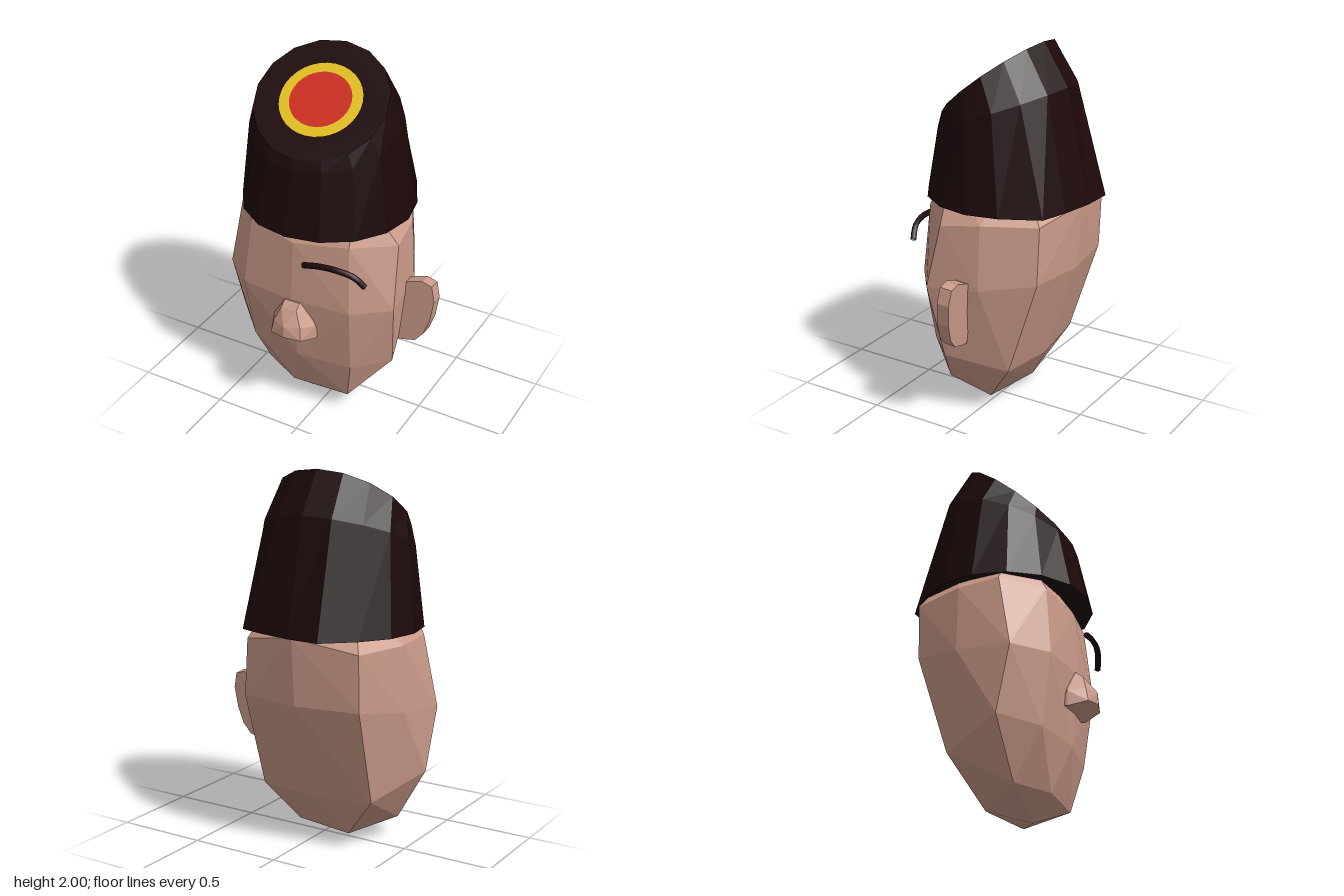
import * as THREE from 'three';
import { ConvexGeometry } from 'three/addons/geometries/ConvexGeometry.js';

const CX = -0.08; // centre line of the face

function material(name, color) {
  const m = new THREE.MeshStandardMaterial({ color });
  m.name = name;
  return m;
}

function flat(geometry) {
  const g = geometry.index ? geometry.toNonIndexed() : geometry;
  g.computeVertexNormals();
  return g;
}

const hull = (points) => new ConvexGeometry(points.map((p) => new THREE.Vector3(...p)));

// Closed solid through rings of equal point count, listed bottom to top
function loft(rings) {
  const n = rings[0].length, pos = [], index = [];
  rings.forEach((ring) => ring.forEach((p) => pos.push(...p)));
  for (let r = 0; r < rings.length - 1; r++) {
    for (let i = 0; i < n; i++) {
      const a = r * n + i, b = r * n + (i + 1) % n;
      index.push(a, b, b + n, a, b + n, a + n);
    }
  }
  const top = (rings.length - 1) * n;
  for (let i = 1; i < n - 1; i++) {
    index.push(0, i + 1, i);
    index.push(top, top + i, top + i + 1);
  }
  const g = new THREE.BufferGeometry();
  g.setAttribute('position', new THREE.Float32BufferAttribute(pos, 3));
  g.setIndex(index);
  return flat(g);
}

export function createModel() {
  const group = new THREE.Group();
  const skin = material('skin', 0xcb9b89);
  const dark = material('dark felt', 0x1d0809);
  dark.side = THREE.DoubleSide;
  const yellow = material('yellow', 0xe8c422);
  const red = material('red', 0xd02e20);

  const add = (name, geometry, mat) => {
    const mesh = new THREE.Mesh(geometry, mat);
    mesh.name = name;
    group.add(mesh);
    return mesh;
  };

  // Faceted head with a flattened back
  add('head', hull([
    // chin
    [-0.08, 0, 0.12], [0.15, 0.05, -0.02], [-0.2, 0.05, -0.08],
    [-0.38, 0.115, 0.14], [0.17, 0.115, 0.23], [-0.16, 0.115, 0.25],
    // jaw
    [-0.555, 0.41, 0.12], [0.385, 0.36, 0.12], [-0.38, 0.38, 0.29], [-0.08, 0.37, 0.335],
    [0.22, 0.36, 0.29], [0.26, 0.29, -0.2], [-0.41, 0.3, -0.2], [-0.08, 0.28, -0.235],
    // cheeks
    [-0.575, 0.75, 0.2], [0.425, 0.75, 0.2], [-0.4, 0.75, 0.345], [0.24, 0.75, 0.345],
    [-0.09, 0.75, 0.375], [-0.54, 0.78, -0.1], [0.395, 0.78, -0.1],
    [-0.43, 0.82, -0.36], [0.26, 0.82, -0.37], [-0.08, 0.82, -0.415],
    // brow
    [-0.53, 1.15, 0.12], [0.405, 1.1, 0.12], [-0.36, 1.13, 0.31], [0.22, 1.13, 0.31],
    [-0.08, 1.1, 0.36], [-0.43, 1.12, -0.37], [0.24, 1.13, -0.37], [-0.08, 1.18, -0.44],
    [0.375, 1.13, -0.1], [-0.53, 1.13, -0.1],
    // crown, inside the hat
    [-0.36, 1.4, 0.17], [0.2, 1.4, 0.17], [-0.3, 1.4, -0.2], [0.12, 1.4, -0.2],
  ]), skin);

  // Nose: mirrored half points around the centre line
  const nose = [[CX, 0.575, 0.478], [CX, 0.64, 0.475]];
  for (const s of [-1, 1]) {
    for (const [x, y, z] of [
      [0.128, 0.54, 0.36], [0.128, 0.62, 0.36], [0.09, 0.567, 0.455], [0.08, 0.64, 0.44],
      [0.045, 0.72, 0.415], [0.045, 0.748, 0.38], [0.045, 0.748, 0.33], [0.128, 0.55, 0.3],
    ]) nose.push([CX + s * x, y, z]);
  }
  add('nose', hull(nose), skin);

  // Ear on the left side
  const earShape = new THREE.Shape([
    [0.37, 0.46], [0.41, 0.465], [0.485, 0.485], [0.53, 0.54], [0.56, 0.63], [0.575, 0.75],
    [0.555, 0.835], [0.5, 0.85], [0.42, 0.825], [0.37, 0.8],
  ].map(([x, y]) => new THREE.Vector2(x, y - 0.65)));
  const earGeometry = new THREE.ExtrudeGeometry(earShape, { depth: 0.07, bevelEnabled: false });
  earGeometry.translate(0, 0, -0.035);
  const ear = add('leftEar', flat(earGeometry), skin);
  ear.position.set(0, 0.65, 0.004);
  ear.rotation.x = -0.09;

  // Eyebrow over the left eye
  const browPath = new THREE.CatmullRomCurve3([
    [0, 1.012, 0.397], [0.1, 1.031, 0.392], [0.2, 1.032, 0.384], [0.28, 1.01, 0.367], [0.332, 0.955, 0.345],
  ].map((p) => new THREE.Vector3(...p)));
  add('leftEyebrow', new THREE.TubeGeometry(browPath, 16, 0.016, 6, false), dark);

  // Hat: elliptical rings, each tilted down toward the front
  const ring = (y, z, rx, rz, rise) => Array.from({ length: 16 }, (_, i) => {
    const a = (i / 16) * Math.PI * 2;
    return [CX + rx * Math.cos(a), y + rise * Math.sin(a), z - rz * Math.sin(a)];
  });
  const brim = ring(1.18, -0.018, 0.468, 0.456, 0);
  // the brim flares over the back corners of the head
  brim[2][2] = -0.395;
  brim[5][2] = -0.48;
  add('hat', loft([
    brim,
    ring(1.65, 0.01, 0.412, 0.35, 0.13),
    ring(1.785, 0.065, 0.37, 0.265, 0.215),
  ]), dark);

  // Round badge lying on the slanted hat top
  const badge = new THREE.Group();
  badge.name = 'badge';
  badge.position.set(CX, 1.782, 0.062);
  badge.rotation.x = -Math.atan2(0.265, 0.215);
  group.add(badge);
  const disc = (name, rx, ry, lift, mat) => {
    const mesh = new THREE.Mesh(new THREE.CircleGeometry(1, 32), mat);
    mesh.name = name;
    mesh.scale.set(rx, ry, 1);
    mesh.position.z = lift;
    badge.add(mesh);
  };
  disc('badgeRim', 0.227, 0.206, 0.005, yellow);
  disc('badgeCentre', 0.17, 0.154, 0.008, red);

  return group;
}
